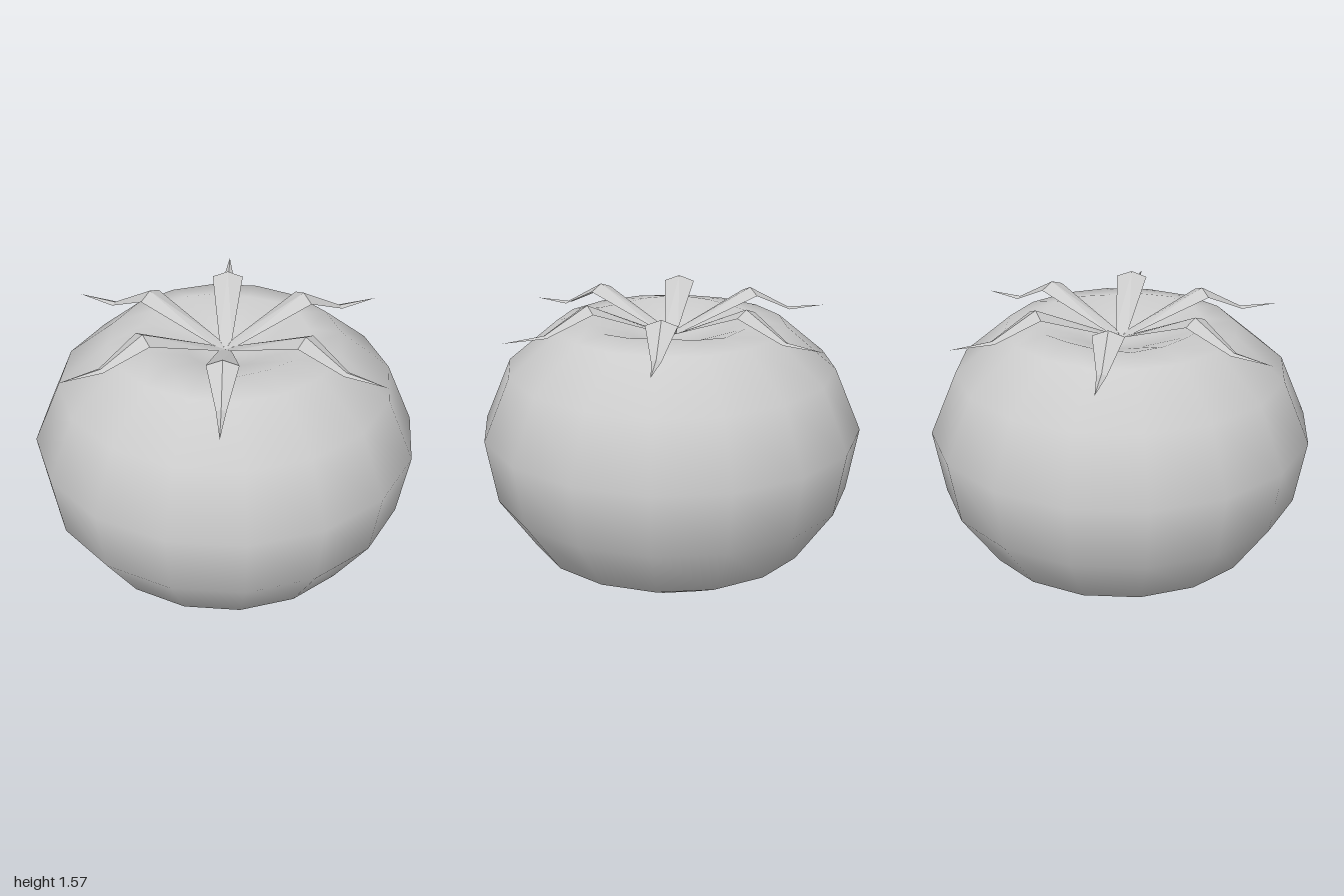
import * as THREE from 'three';
import { mergeVertices } from 'three/addons/utils/BufferGeometryUtils.js';

// Smooth low-poly fruit body, lathed from the base up into the dimpled top
function createBody() {
  const profile = [
    [0, 0], [0.4, 0.06], [0.74, 0.24], [0.94, 0.53], [1, 0.87],
    [0.86, 1.2], [0.6, 1.42], [0.43, 1.45], [0.2, 1.37], [0, 1.32],
  ].map(([r, y]) => new THREE.Vector2(r, y));
  let geometry = new THREE.LatheGeometry(profile, 16);

  // Four gentle lobes around the rim of the dimple
  const p = geometry.attributes.position;
  for (let i = 0; i < p.count; i++) {
    const x = p.getX(i), y = p.getY(i), z = p.getZ(i);
    if (y > 1.44) p.setY(i, y + 0.01 * Math.cos(4 * Math.atan2(z, x)));
  }

  // Weld the seam so the shading is continuous
  geometry.deleteAttribute('uv');
  geometry.deleteAttribute('normal');
  geometry = mergeVertices(geometry, 1e-4);
  geometry.computeVertexNormals();
  const body = new THREE.Mesh(geometry, new THREE.MeshStandardMaterial({ color: 0xcccccc }));
  body.name = 'fruitBody';
  return body;
}

// One folded sepal along +x; each section is [x, half width, edge y, ridge y]
function createSepalGeometry() {
  const sections = [
    [0, 0, 1.355, 1.355],
    [0.058, 0.033, 1.38, 1.381],
    [0.46, 0.08, 1.535, 1.565],
    [0.69, 0.025, 1.425, 1.435],
    [0.915, 0, 1.42, 1.42],
  ];
  const positions = [];
  const indices = [];
  sections.forEach(([x, w, edge, ridge], i) => {
    positions.push(x, edge, -w, x, ridge, 0, x, edge, w);
    if (i === 0) return;
    for (let k = 0; k < 2; k++) {
      const a = (i - 1) * 3 + k, b = a + 1, c = a + 3, d = a + 4;
      // Sections at either end are points, so skip collapsed triangles
      if (i > 1) indices.push(a, b, k ? c : d);
      if (i > 1 && i < sections.length - 1) indices.push(...(k ? [b, d, c] : [a, d, c]));
      if (i === 1) indices.push(a, d, c);
    }
  });
  const geometry = new THREE.BufferGeometry();
  geometry.setAttribute('position', new THREE.Float32BufferAttribute(positions, 3));
  geometry.setIndex(indices);
  const flat = geometry.toNonIndexed();
  flat.computeVertexNormals();
  return flat;
}

// Star of six sepals meeting in the dimple
function createCalyx() {
  const calyx = new THREE.Group();
  calyx.name = 'calyx';
  const geometry = createSepalGeometry();
  const material = new THREE.MeshStandardMaterial({
    color: 0xcccccc, flatShading: true, side: THREE.DoubleSide,
  });
  for (let i = 0; i < 6; i++) {
    const sepal = new THREE.Mesh(geometry, material);
    sepal.name = `sepal${i + 1}`;
    sepal.rotation.y = (i * Math.PI) / 3;
    calyx.add(sepal);
  }
  return calyx;
}

export function createModel() {
  const model = new THREE.Group();
  model.name = 'tomato';
  model.add(createBody(), createCalyx());
  return model;
}
